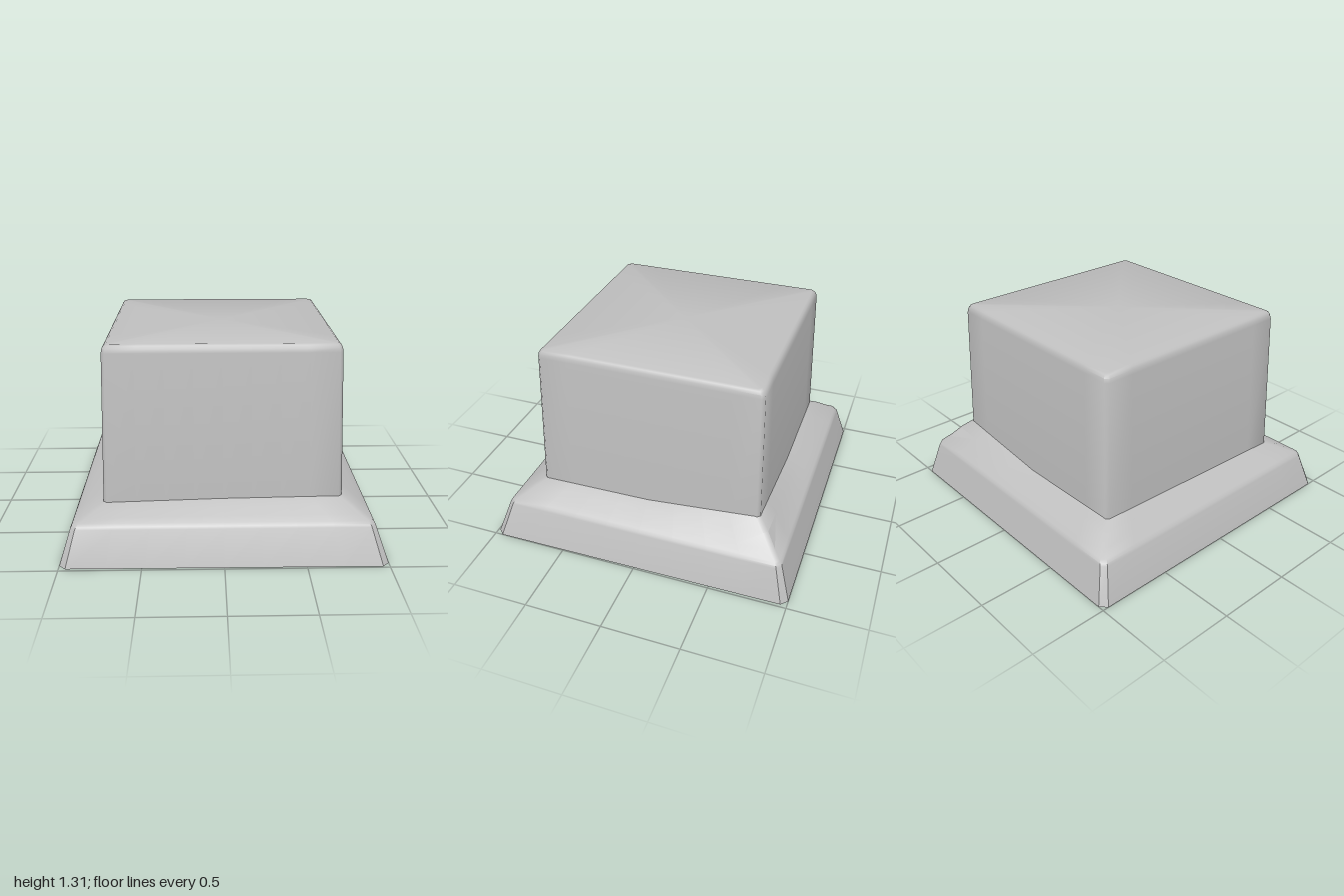
import * as THREE from 'three';
import { toCreasedNormals } from 'three/addons/utils/BufferGeometryUtils.js';

const SEG = 8; // segments along each side

// Height of the ground where it meets the block, at corners and side middles,
// running from the front left corner round the back.
const SLOPE = [0.355, 0.365, 0.43, 0.36, 0.375, 0.35, 0.325, 0.345];
const slopeAt = (s) => {
  const i = Math.floor(s) % 8;
  return THREE.MathUtils.lerp(SLOPE[i], SLOPE[(i + 1) % 8], s - Math.floor(s));
};

// Four corners of a rectangle, counter-clockwise from above
const rect = (x0, x1, z0, z1) => [[x1, z1], [x1, z0], [x0, z0], [x0, z1]];

// Chamfered four-sided loop; height(s) gives y, with s from 0 to 8
function ring(corners, chamfer, height) {
  const points = [];
  for (let k = 0; k < 4; k++) {
    const a = new THREE.Vector2(...corners[k]);
    const b = new THREE.Vector2(...corners[(k + 1) % 4]);
    const inset = chamfer / a.distanceTo(b);
    for (let i = 0; i <= SEG; i++) {
      const t = i / SEG;
      const p = a.clone().lerp(b, inset + t * (1 - 2 * inset));
      points.push([p.x, height((2 * k + 2 * t) % 8), p.y]);
    }
  }
  return points;
}

// Join loops from bottom to top, closing the chosen ends
function skin(rings, capBottom, capTop, crease) {
  const n = rings[0].length;
  const pos = rings.flat(2);
  const index = [];
  for (let r = 0; r < rings.length - 1; r++) {
    for (let i = 0; i < n; i++) {
      const j = (i + 1) % n;
      const a = r * n + i, b = r * n + j;
      index.push(a, b, b + n, a, b + n, a + n);
    }
  }
  const cap = (r, up) => {
    const c = pos.length / 3;
    pos.push(0, rings[r][0][1], 0);
    for (let i = 0; i < n; i++) {
      const a = r * n + i, b = r * n + (i + 1) % n;
      index.push(c, up ? a : b, up ? b : a);
    }
  };
  if (capBottom) cap(0, false);
  if (capTop) cap(rings.length - 1, true);
  const geometry = new THREE.BufferGeometry();
  geometry.setAttribute('position', new THREE.Float32BufferAttribute(pos, 3));
  geometry.setIndex(index);
  return toCreasedNormals(geometry, crease);
}

export function createModel() {
  const group = new THREE.Group();
  const grey = new THREE.MeshStandardMaterial({ color: 0xbfbfbf });

  // Base: splayed skirt, soft rim, then an uneven slope up to the block
  const foot = [[1, 0.99], [0.98, -1], [-1, -1], [-1, 0.98]];
  const rim = rect(-0.905, 0.9, -0.915, 0.89);
  const inner = rect(-0.735, 0.73, -0.74, 0.725);
  const baseRings = [
    ring(foot, 0.04, () => 0),
    ring(rect(-0.93, 0.922, -0.935, 0.915), 0.03, () => 0.225),
    ring(rect(-0.922, 0.915, -0.93, 0.907), 0.03, () => 0.24),
  ];
  for (const [t, f] of [[0, 0], [0.25, 0.24], [0.6, 0.65], [1, 1]]) {
    const corners = rim.map(([x, z], k) => [
      THREE.MathUtils.lerp(x, inner[k][0], t),
      THREE.MathUtils.lerp(z, inner[k][1], t),
    ]);
    baseRings.push(ring(corners, 0.025, (s) => THREE.MathUtils.lerp(0.255, slopeAt(s), f)));
  }
  const base = new THREE.Mesh(skin(baseRings, true, false, 0.6), grey);
  base.name = 'slopedBase';
  group.add(base);

  // Block: slightly tapered, with softened top edges
  const blockRings = [
    [-0.745, 0.737, -0.747, 0.735, 0.28],
    [-0.72, 0.706, -0.722, 0.706, 1.26],
    [-0.715, 0.702, -0.717, 0.702, 1.285],
    [-0.705, 0.693, -0.707, 0.692, 1.302],
    [-0.69, 0.68, -0.693, 0.678, 1.31],
  ].map(([x0, x1, z0, z1, y]) => ring(rect(x0, x1, z0, z1), 0.02, () => y));
  const block = new THREE.Mesh(skin(blockRings, true, true, 0.85), grey);
  block.name = 'block';
  group.add(block);

  return group;
}
